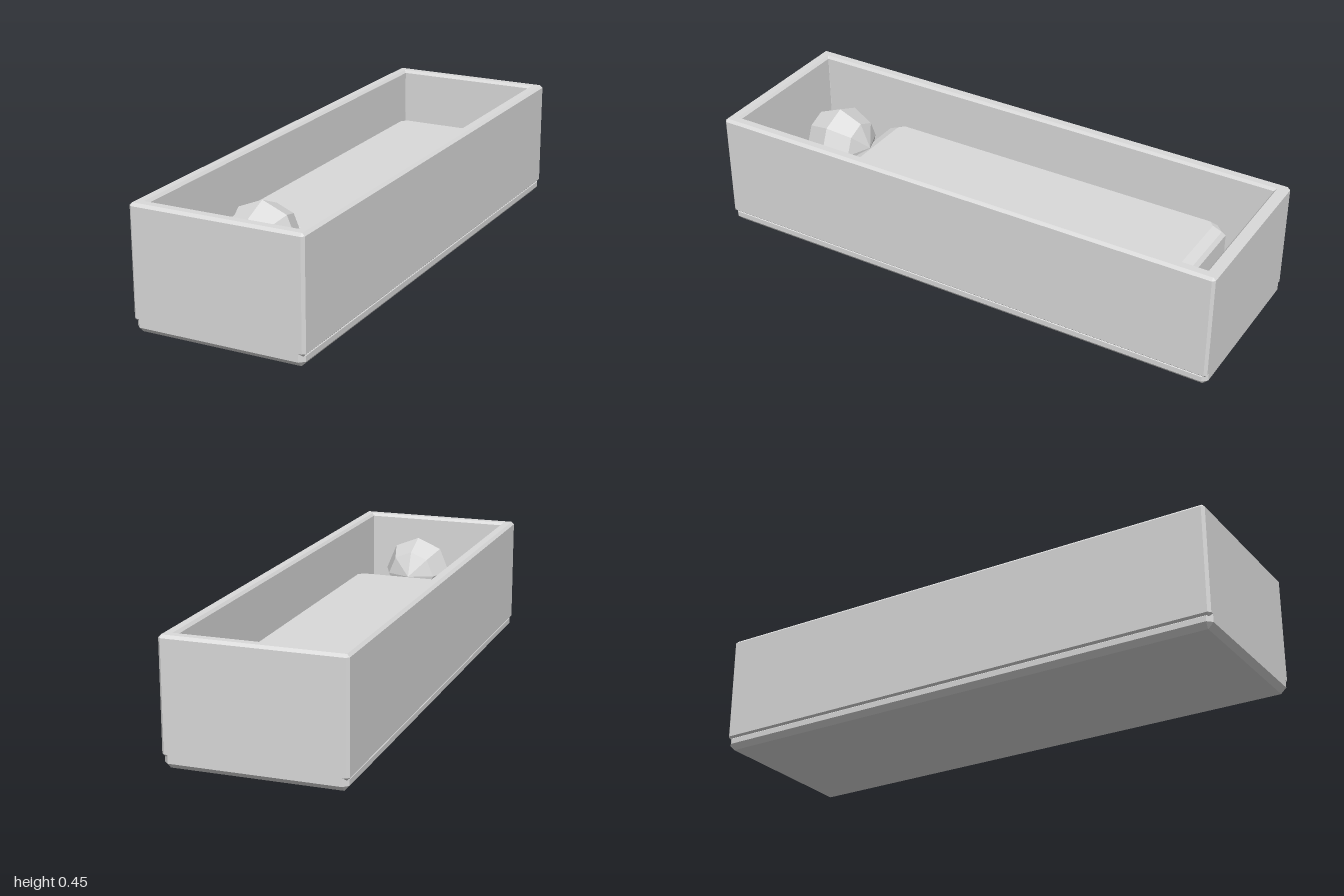
import * as THREE from 'three';

// Rectangle outline with cut corners: half width, half depth, corner cut, height
function outline([hx, hz, c, y]) {
  return [
    [hx, y, -hz + c], [hx, y, hz - c], [hx - c, y, hz], [-hx + c, y, hz],
    [-hx, y, hz - c], [-hx, y, -hz + c], [-hx + c, y, -hz], [hx - c, y, -hz],
  ];
}

// Skin a sequence of cut-corner rectangles
function loft(rings) {
  const pos = [];
  const loops = rings.map(outline);
  for (let r = 0; r < loops.length - 1; r++) {
    for (let i = 0; i < 8; i++) {
      const j = (i + 1) % 8;
      const a = loops[r][i], b = loops[r][j], c = loops[r + 1][i], d = loops[r + 1][j];
      pos.push(...a, ...c, ...b, ...b, ...c, ...d);
    }
  }
  const geo = new THREE.BufferGeometry();
  geo.setAttribute('position', new THREE.Float32BufferAttribute(pos, 3));
  geo.computeVertexNormals();
  return geo;
}

export function createModel() {
  const group = new THREE.Group();
  const stone = new THREE.MeshStandardMaterial({ color: 0xdadada });
  stone.name = 'stone grey';

  const add = (name, geo) => {
    const mesh = new THREE.Mesh(geo, stone);
    mesh.name = name;
    group.add(mesh);
    return mesh;
  };

  // Base slab: ends flush with the walls, sides notched; its top is the floor
  add('base', loft([
    [0, 0, 0, 0],
    [0.3, 0.98, 0.001, 0],
    [0.318, 1, 0.018, 0.02],
    [0.318, 1, 0.018, 0.04],
    [0.308, 1, 0.008, 0.05],
    [0, 0, 0, 0.05],
  ]));

  // Four walls as one chamfered frame, outside up and inside down
  add('walls', loft([
    [0.303, 0.98, 0.001, 0.04],
    [0.313, 0.99, 0.001, 0.04],
    [0.323, 1, 0.01, 0.05],
    [0.323, 1, 0.01, 0.441],
    [0.313, 0.99, 0.001, 0.451],
    [0.286, 0.962, 0.001, 0.451],
    [0.278, 0.954, 0.001, 0.441],
    [0.278, 0.954, 0.001, 0.045],
  ]));

  // Lying body with cut corners and a top that slopes gently at the ends
  const body = add('body', loft([
    [0.222, 0.717, 0.03, 0.05],
    [0.222, 0.717, 0.03, 0.26],
    [0.213, 0.705, 0.03, 0.276],
    [0.203, 0.67, 0.02, 0.29],
    [0, 0, 0, 0.29],
  ]));
  body.position.z = -0.107;

  // Faceted head, poles along the length
  const headGeo = new THREE.SphereGeometry(0.131, 8, 4).rotateX(Math.PI / 2).toNonIndexed();
  headGeo.computeVertexNormals();
  const head = add('head', headGeo);
  head.position.set(0, 0.29, 0.7);

  return group;
}
